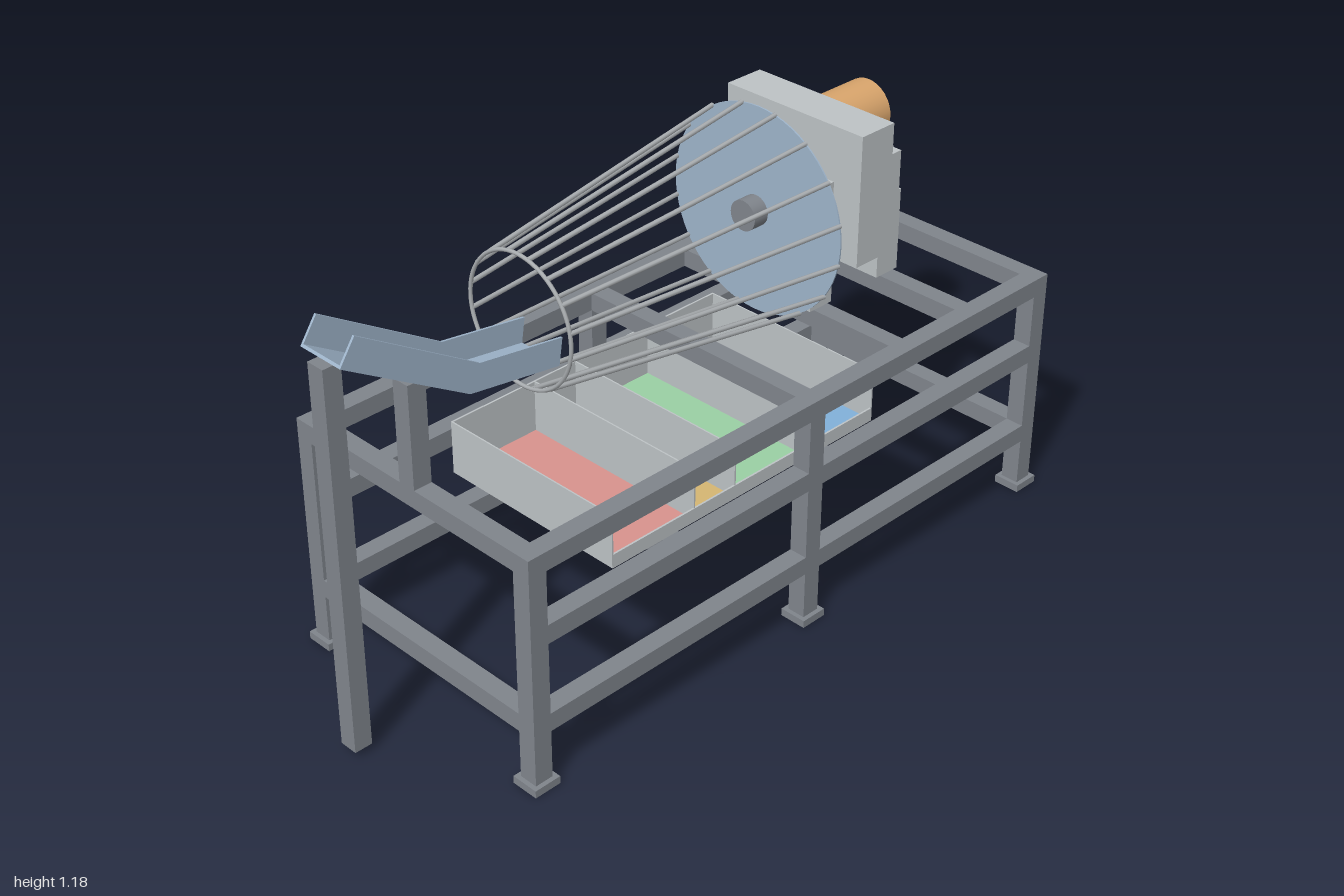
import * as THREE from 'three';

const mat = (name, color) => {
  const m = new THREE.MeshStandardMaterial({ color, side: THREE.DoubleSide });
  m.name = name;
  return m;
};

export function createModel() {
  const model = new THREE.Group();
  const steel = mat('frame steel', 0x80858c);
  const plate = mat('light grey plate', 0xbec3c6);
  const blueGrey = mat('blue grey sheet', 0x9fb5cb);
  const rod = mat('rod grey', 0xa9adb0);
  const orange = mat('motor orange', 0xd9a56c);
  const red = mat('red bin floor', 0xd9938e);
  const yellow = mat('yellow bin floor', 0xd6b673);
  const green = mat('green bin floor', 0x9bd0a4);
  const blue = mat('blue bin floor', 0x82b1da);

  const add = (name, geo, material, parent = model) => {
    const m = new THREE.Mesh(geo, material);
    m.name = name;
    parent.add(m);
    return m;
  };
  const group = (name) => {
    const g = new THREE.Group();
    g.name = name;
    model.add(g);
    return g;
  };
  // box given by its limits on each axis
  const box = (name, [x0, x1], [y0, y1], [z0, z1], material, parent) => {
    const g = new THREE.BoxGeometry(x1 - x0, y1 - y0, z1 - z0);
    g.translate((x0 + x1) / 2, (y0 + y1) / 2, (z0 + z1) / 2);
    return add(name, g, material, parent);
  };
  const around = (c, half) => [c - half, c + half];
  // cylinder along x
  const axle = (name, x0, x1, r, y, z, material, parent, sides = 32) => {
    const g = new THREE.CylinderGeometry(r, r, x1 - x0, sides);
    g.rotateZ(-Math.PI / 2).translate((x0 + x1) / 2, y, z);
    return add(name, g, material, parent);
  };
  // round bar between two points
  const bar = (name, a, b, r, material, parent) => {
    const d = b.clone().sub(a);
    const m = add(name, new THREE.CylinderGeometry(r, r, d.length(), 8), material, parent);
    m.position.copy(a).addScaledVector(d, 0.5);
    m.quaternion.setFromUnitVectors(new THREE.Vector3(0, 1, 0), d.normalize());
  };

  // frame: legs, feet and long rails
  const frame = group('frame');
  const H = 0.025, legX = [-0.761, 0.119, 0.96], railZ = 0.371;
  const top = [0.583, 0.632], mid = [0.39, 0.44], low = [0.149, 0.198];
  for (const z of [-railZ, railZ]) {
    for (const x of legX) {
      box('leg', around(x, H), [0.02, 0.583], around(z, H), steel, frame);
      box('foot', around(x, 0.037), [0, 0.02], around(z, 0.037), steel, frame);
    }
    box('topRail', [-0.786, 0.985], top, around(z, H), steel, frame);
    for (const y of [mid, low]) {
      box('sideRail', [-0.736, 0.094], y, around(z, H), steel, frame);
      box('sideRail', [0.144, 0.935], y, around(z, H), steel, frame);
    }
  }
  // cross beams between the two sides
  const span = [-0.346, 0.346];
  for (const x of [-0.761, 0.119, 0.45, 0.70, 0.96])
    box('topCrossBeam', around(x, H), top, span, steel, frame);
  for (const x of [-0.315, 0.192])
    box('binSupportBeam', around(x, H), mid, span, steel, frame);
  for (const x of [-0.761, 0.96])
    box('endBeam', around(x, H), low, span, steel, frame);

  // chute posts
  box('tallChutePost', [-1.0, -0.952], [0.02, 1.03], around(0, H), steel);
  box('shortChutePost', [-0.786, -0.736], [0.632, 0.9], around(0, H), steel);

  // bent open chute: side walls and floor extruded across z
  const chute = group('chute');
  const extrude = (name, pts, depth, z) => {
    const g = new THREE.ExtrudeGeometry(
      new THREE.Shape(pts.map(([x, y]) => new THREE.Vector2(x, y))),
      { depth, bevelEnabled: false });
    g.translate(0, 0, z);
    add(name, g, blueGrey, chute);
  };
  const wall = [[-0.985, 1.043], [-0.648, 0.838], [-0.388, 0.8],
    [-0.377, 0.869], [-0.618, 0.904], [-0.943, 1.105]];
  extrude('chuteWall', wall, 0.006, 0.06);
  extrude('chuteWall', wall, 0.006, -0.066);
  extrude('chuteFloor', [[-0.985, 1.043], [-0.648, 0.838], [-0.388, 0.8],
    [-0.387, 0.807], [-0.646, 0.844], [-0.981, 1.049]], 0.12, -0.06);

  // sorting bins: low front, tall back and sides, coloured floor
  const bins = group('bins');
  const edges = [-0.495, -0.238, -0.105, 0.14, 0.373], t = 0.004;
  [red, yellow, green, blue].forEach((floor, i) => {
    const x = [edges[i], edges[i + 1]];
    box('binFloor', x, [0.442, 0.447], [-0.195, 0.345], floor, bins);
    box('binFront', x, [0.442, 0.478], [0.341, 0.346], plate, bins);
    box('binBack', x, [0.442, 0.583], [-0.196, -0.191], plate, bins);
  });
  for (const x of edges)
    box('binSide', around(x, t / 2), [0.442, 0.583], [-0.195, 0.345], plate, bins);

  // tapered cage of rods with end ring and disc
  const cage = group('cage');
  const Y = 0.912, x0 = -0.443, x1 = 0.32, r0 = 0.167, r1 = 0.272, rods = 16;
  for (let i = 0; i < rods; i++) {
    const a = (i + 0.5) / rods * Math.PI * 2;
    const at = (x, r) => new THREE.Vector3(x, Y + r * Math.sin(a), r * Math.cos(a));
    bar('cageRod', at(x0, r0), at(x1, r1), 0.006, rod, cage);
  }
  const ring = new THREE.TorusGeometry(r0, 0.005, 8, 64);
  ring.rotateY(Math.PI / 2).translate(x0, Y, 0);
  add('cageRing', ring, rod, cage);
  axle('cageDisc', 0.317, 0.321, r1, Y, 0, blueGrey, cage, 64);

  // drive shaft, hub and bearings
  axle('hub', 0.272, 0.333, 0.04, Y, 0, steel);
  axle('driveShaft', 0.3, 0.807, 0.019, Y, 0, steel);
  for (const x of [0.45, 0.70]) {
    box('bearingPedestal', around(x, 0.039), [0.632, 0.857], around(0, 0.103), plate);
    box('bearingBlock', around(x, 0.029), [0.857, 0.967], around(0, 0.105), plate);
  }

  // gearbox and motor
  box('gearbox', [0.517, 0.632], [0.736, 1.09], [-0.288, 0.157], plate);
  const mz = -0.198;
  axle('motorNeck', 0.632, 0.79, 0.068, Y, mz, orange);
  axle('motorBody', 0.79, 0.953, 0.08, Y, mz, orange);

  // motor table
  const table = group('motorTable');
  box('tableTop', [0.66, 0.925], [0.828, 0.835], [-0.287, -0.11], plate, table);
  for (const x of [0.675, 0.912])
    for (const z of [-0.277, -0.122])
      box('tableLeg', around(x, 0.004), [0.632, 0.83], around(z, 0.004), plate, table);

  return model;
}
